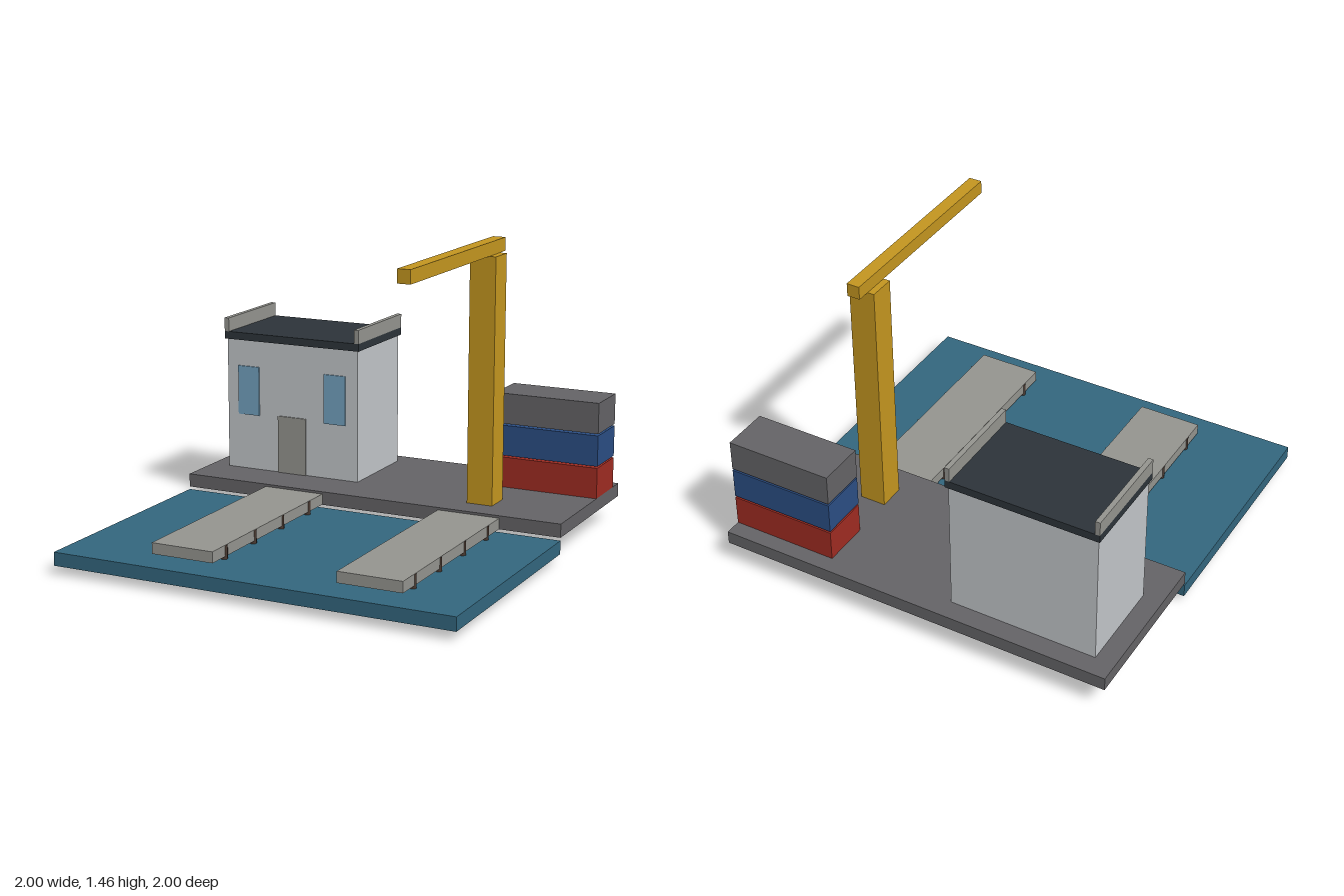
import * as THREE from 'three';

const mat = (name, color) => {
  const m = new THREE.MeshStandardMaterial({ color });
  m.name = name;
  return m;
};

export function createModel() {
  const water = mat('water blue', 0x33677f);
  const asphalt = mat('asphalt grey', 0x656467);
  const concrete = mat('concrete grey', 0x959590);
  const wall = mat('wall pale grey', 0xc3c7ca);
  const slate = mat('roof slate', 0x2d343a);
  const glass = mat('window blue', 0x74a2c0);
  const yellow = mat('crane yellow', 0xc59720);
  const red = mat('container red', 0xa02c22);
  const blue = mat('container blue', 0x2b4e84);
  const wood = mat('pile brown', 0x4a3a32);

  const model = new THREE.Group();
  model.name = 'harbour';
  const group = (name) => {
    const g = new THREE.Group();
    g.name = name;
    model.add(g);
    return g;
  };

  // Box given by its extents along each axis
  const box = (parent, name, material, [x0, x1], [y0, y1], [z0, z1]) => {
    const mesh = new THREE.Mesh(new THREE.BoxGeometry(x1 - x0, y1 - y0, z1 - z0), material);
    mesh.position.set((x0 + x1) / 2, (y0 + y1) / 2, (z0 + z1) / 2);
    mesh.name = name;
    parent.add(mesh);
  };

  // Ground slabs
  box(model, 'waterSlab', water, [-1, 1], [0.043, 0.108], [-0.2, 1]);
  box(model, 'quay', asphalt, [-1, 1], [0.122, 0.188], [-1, -0.2]);

  // Two piers on paired rows of piles
  const pileGeometry = new THREE.CylinderGeometry(0.016, 0.016, 0.174, 8);
  for (const [side, cx] of [['right', -0.402], ['left', 0.534]]) {
    const pier = group(side + 'Pier');
    box(pier, 'pierDeck', concrete, [cx - 0.158, cx + 0.158], [0.123, 0.176], [-0.2, 0.863]);
    for (const dx of [-0.147, 0.147]) {
      for (const z of [-0.063, 0.204, 0.471, 0.738]) {
        const pile = new THREE.Mesh(pileGeometry, wood);
        pile.position.set(cx + dx, 0.087, z);
        pile.name = 'pile';
        pier.add(pile);
      }
    }
  }

  // Harbour office with roof, parapets, door and windows
  const office = group('office');
  box(office, 'walls', wall, [-0.902, -0.168], [0.188, 0.855], [-0.902, -0.435]);
  box(office, 'roof', slate, [-0.912, -0.157], [0.855, 0.893], [-0.914, -0.422]);
  for (const x of [-0.912, -0.181]) {
    box(office, 'parapet', concrete, [x, x + 0.024], [0.893, 0.962], [-0.914, -0.422]);
  }
  box(office, 'door', concrete, [-0.614, -0.457], [0.188, 0.481], [-0.437, -0.428]);
  for (const x of [-0.84, -0.353]) {
    box(office, 'window', glass, [x, x + 0.119], [0.47, 0.721], [-0.437, -0.428]);
  }

  // Crane
  const crane = group('crane');
  box(crane, 'mast', yellow, [0.467, 0.598], [0.188, 1.39], [-0.467, -0.336]);
  box(crane, 'jib', yellow, [0.5, 0.564], [1.39, 1.455], [-0.533, 0.533]);

  // Container stack
  const stack = group('containerStack');
  [red, blue, asphalt].forEach((m, i) => {
    const y = 0.188 + i * 0.161;
    box(stack, 'container', m, [0.466, 1], [y, y + 0.152], [-0.918, -0.681]);
  });

  return model;
}
